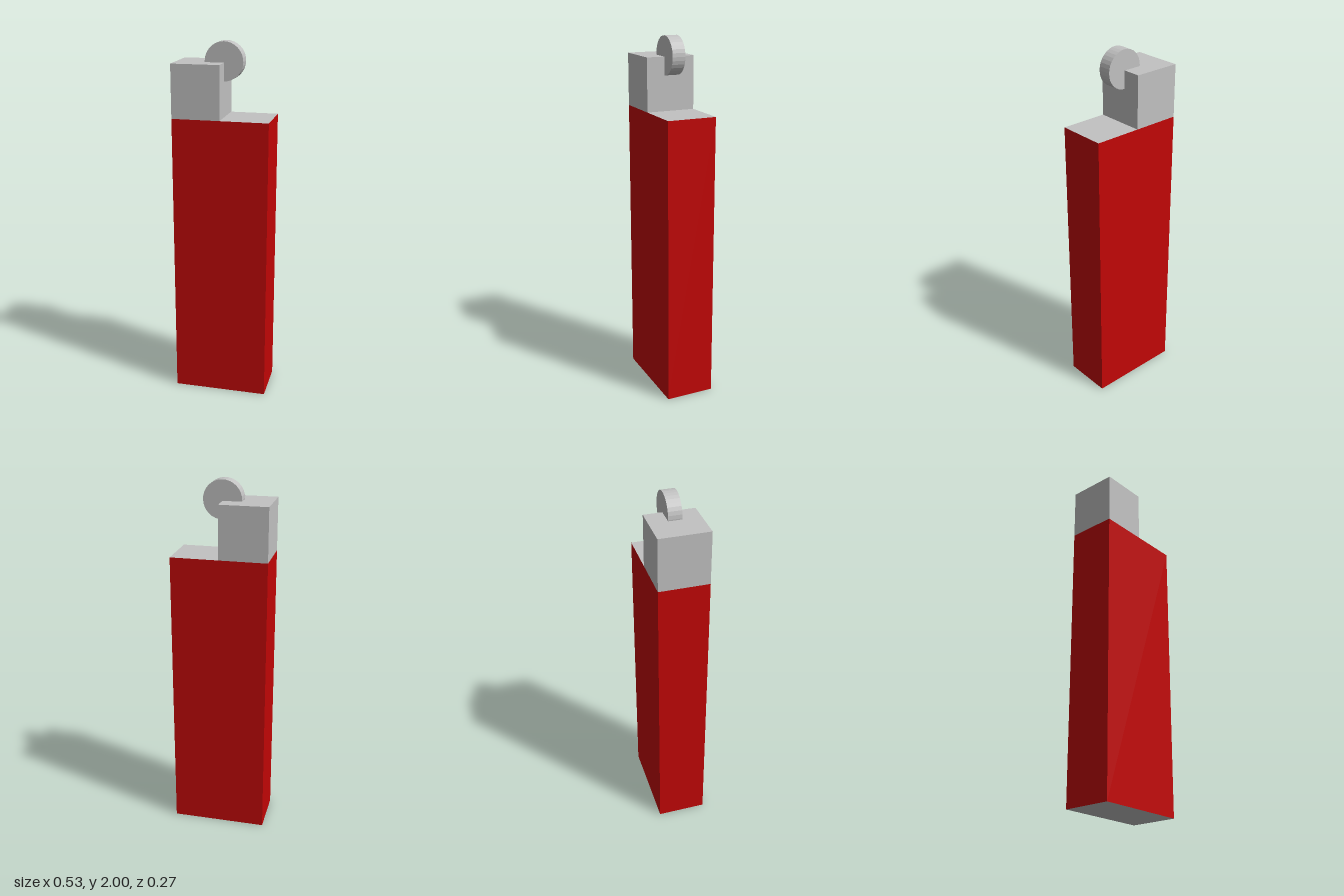
import * as THREE from 'three';

export function createModel() {
  const model = new THREE.Group();
  const red = new THREE.MeshStandardMaterial({ color: 0xc20606, flatShading: true });
  red.name = 'red plastic';
  const metal = new THREE.MeshStandardMaterial({ color: 0xc2c2c2, flatShading: true });
  metal.name = 'grey metal';

  function add(name, geometry, material, x, y, z) {
    const mesh = new THREE.Mesh(geometry, material);
    mesh.name = name;
    mesh.position.set(x, y, z);
    model.add(mesh);
    return mesh;
  }

  const width = 0.526, depth = 0.273, bodyHeight = 1.6, hoodHeight = 0.29;

  // Tall body: red sides, grey top and bottom faces
  add('body', new THREE.BoxGeometry(width, bodyHeight, depth),
    [red, red, metal, metal, red, red], 0, bodyHeight / 2, 0);

  // Metal hood over the right half
  add('hood', new THREE.BoxGeometry(width / 2, hoodHeight, depth),
    metal, -width / 4, bodyHeight + hoodHeight / 2, 0);

  // Striker wheel set into the hood's inner top edge
  const wheel = add('strikerWheel', new THREE.CylinderGeometry(0.104, 0.104, 0.073, 32),
    metal, 0, 1.896, 0);
  wheel.rotation.x = Math.PI / 2;

  return model;
}
